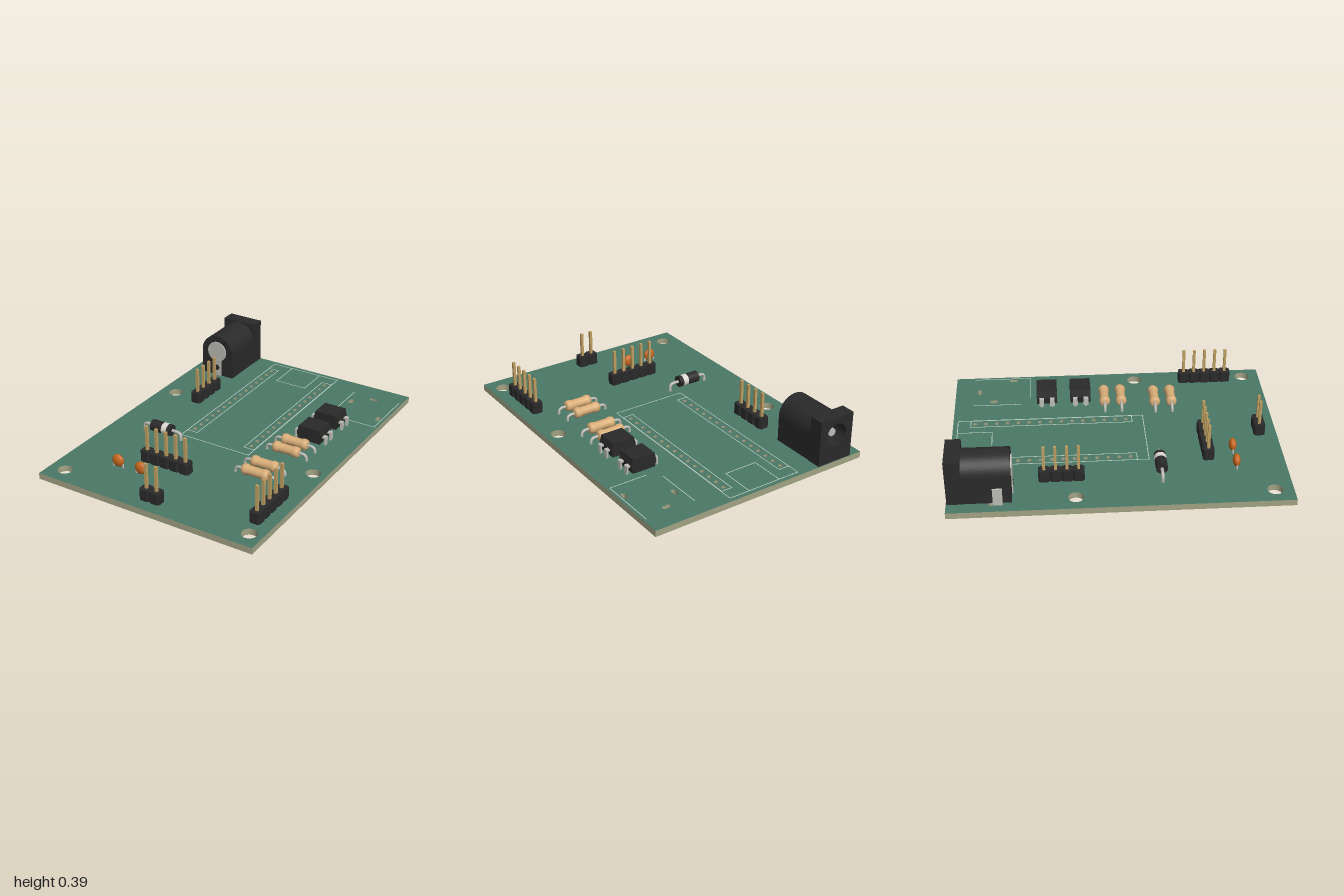
import * as THREE from 'three';

const TOP = 0.106, BOTTOM = 0.067;
const mat = (color, extra = {}) => new THREE.MeshStandardMaterial({ color, ...extra });
const GREEN = mat(0x4a7866), EDGE = mat(0xa3a385), BLACK = mat(0x2a2a2a), SILVER = mat(0xbdbdb6, { side: THREE.DoubleSide });
const BRASS = mat(0xbf9f62), TAN = mat(0xd9ae78), ORANGE = mat(0xc8681e), SILK = mat(0xb9cbc0), BAND = mat(0xdcdad2);

function add(parent, name, geometry, material, x = 0, y = 0, z = 0) {
  const mesh = new THREE.Mesh(geometry, material);
  mesh.name = name;
  mesh.position.set(x, y, z);
  parent.add(mesh);
  return mesh;
}

function group(parent, name, x = 0, y = 0, z = 0) {
  const g = new THREE.Group();
  g.name = name;
  g.position.set(x, y, z);
  parent.add(g);
  return g;
}

const polygon = pts => new THREE.Shape(pts.map(p => new THREE.Vector2(...p)));
const extrude = (shape, depth) => new THREE.ExtrudeGeometry(shape, { depth, bevelEnabled: false, curveSegments: 20 });
const circle = (x, y, r) => new THREE.Path().absarc(x, y, r, 0, Math.PI * 2, true);

// Rounded slot, w by h, centred on x, y
function slot(x, y, w, h) {
  const r = Math.min(w, h) / 2, dx = w / 2 - r, dy = h / 2 - r;
  const p = new THREE.Path();
  if (w > h) {
    p.absarc(x + dx, y, r, -Math.PI / 2, Math.PI / 2);
    p.absarc(x - dx, y, r, Math.PI / 2, Math.PI * 1.5);
  } else {
    p.absarc(x, y + dy, r, 0, Math.PI);
    p.absarc(x, y - dy, r, Math.PI, Math.PI * 2);
  }
  p.closePath();
  return p;
}

// Board with mounting holes, socket holes and slots
function addBoard(root) {
  const s = polygon([[-0.72, -1], [0.72, -1], [0.72, 1], [-0.72, 1]]);
  for (const [x, z] of [[-0.615, -0.26], [-0.615, 0.89], [0.637, 0.17], [0.637, 0.89]]) s.holes.push(circle(x, z, 0.046));
  for (const x of [-0.235, 0.172])
    for (let i = 0; i < 15; i++) s.holes.push(circle(x, -0.862 + i * 0.0676, 0.0145));
  s.holes.push(slot(0.543, -0.844, 0.055, 0.028), slot(0.425, -0.75, 0.03, 0.055),
    slot(0.675, -0.625, 0.03, 0.055), slot(-0.65, -0.715, 0.028, 0.085));
  const g = extrude(s, TOP - BOTTOM).rotateX(Math.PI / 2);
  add(root, 'board', g, [GREEN, EDGE], 0, TOP, 0);
}

// Printed outlines
function addOutlines(root) {
  const g = group(root, 'printedOutlines');
  const w = 0.005;
  const line = (x0, z0, x1, z1) => add(g, 'outlineLine',
    new THREE.BoxGeometry(Math.abs(x1 - x0) + w, 0.001, Math.abs(z1 - z0) + w), SILK, (x0 + x1) / 2, TOP + 0.0005, (z0 + z1) / 2);
  const rect = (x0, z0, x1, z1) => {
    line(x0, z0, x1, z0); line(x0, z1, x1, z1); line(x0, z0, x0, z1); line(x1, z0, x1, z1);
  };
  rect(-0.27, -0.97, 0.21, 0.19);
  rect(-0.135, -0.97, 0.077, -0.754);
  rect(-0.27, -0.89, -0.2, 0.12);
  rect(0.138, -0.89, 0.207, 0.12);
  line(0.385, -0.88, 0.385, -0.58);
  line(0.46, -0.515, 0.7, -0.515);
  line(0.7, -0.88, 0.7, -0.515);
}

// Row of square pins in chamfered black blocks
function addHeader(root, x, z, count, alongZ) {
  const g = group(root, 'pinHeader', x, 0, z);
  const a = 0.0338, b = 0.022, pitch = 0.0676;
  const block = extrude(polygon([[a, -b], [a, b], [b, a], [-b, a], [-a, b], [-a, -b], [-b, -a], [b, -a]]), 0.069).rotateX(-Math.PI / 2);
  for (let i = 0; i < count; i++) {
    const d = (i - (count - 1) / 2) * pitch;
    const px = alongZ ? 0 : d, pz = alongZ ? d : 0;
    add(g, 'headerBlock', block, BLACK, px, TOP, pz);
    add(g, 'headerPin', new THREE.BoxGeometry(0.017, 0.303, 0.017), BRASS, px, 0.1815, pz);
  }
}

// Wire running out along x, bending down through the board; side is +1 or -1
function addLead(g, side, inner, outer, y, bottom, r = 0.009) {
  const bend = Math.min(0.03, outer - inner);
  const v = (x, h) => new THREE.Vector3(side * x, h, 0);
  const path = new THREE.CurvePath();
  if (outer - bend > inner) path.add(new THREE.LineCurve3(v(inner, y), v(outer - bend, y)));
  path.add(new THREE.QuadraticBezierCurve3(v(outer - bend, y), v(outer, y), v(outer, y - bend)));
  path.add(new THREE.LineCurve3(v(outer, y - bend), v(outer, bottom)));
  add(g, 'lead', new THREE.TubeGeometry(path, 24, r, 8), SILVER);
  add(g, 'leadTip', new THREE.CircleGeometry(r, 8).rotateX(Math.PI / 2), SILVER, side * outer, bottom, 0);
}

function addResistor(root, x, z) {
  const g = group(root, 'resistor', x, 0, z);
  const half = [[0, -0.088], [0.02, -0.088], [0.03, -0.082], [0.034, -0.07], [0.034, -0.052], [0.029, -0.042]];
  const pts = [...half, ...half.map(([r, h]) => [r, -h]).reverse()].map(p => new THREE.Vector2(...p));
  add(g, 'resistorBody', new THREE.LatheGeometry(pts, 24).rotateZ(Math.PI / 2), TAN, 0, 0.143, 0);
  for (const s of [-1, 1]) addLead(g, s, 0.08, 0.135, 0.143, 0.03);
}

function addDiode(root) {
  const g = group(root, 'diode', -0.367, 0, 0.25);
  const cyl = (r, len) => new THREE.CylinderGeometry(r, r, len, 28).rotateZ(Math.PI / 2);
  add(g, 'diodeBody', cyl(0.036, 0.143), BLACK, 0, 0.155, 0);
  add(g, 'diodeBand', cyl(0.0368, 0.037), BAND, 0.029, 0.155, 0);
  for (const s of [-1, 1]) addLead(g, s, 0.07, 0.134, 0.155, 0.035, 0.01);
}

function addCapacitor(root, x) {
  const g = group(root, 'discCapacitor', x, 0, 0.7);
  add(g, 'capacitorDisc', new THREE.SphereGeometry(0.039, 24, 16).scale(1, 1, 0.58), ORANGE, 0, 0.149, 0);
  for (const s of [-1, 1]) addLead(g, s, 0.02, 0.034, 0.137, 0.045, 0.006);
}

// Four-legged chip with sloped sides
function addChip(root, z) {
  const g = group(root, 'chip', 0.445, 0, z);
  const body = extrude(polygon([[-0.074, 0.115], [0.074, 0.115], [0.083, 0.16], [0.071, 0.206], [-0.071, 0.206], [-0.083, 0.16]]), 0.13);
  add(g, 'chipBody', body, BLACK, 0, 0, -0.065);
  for (const sx of [-1, 1]) for (const sz of [-1, 1]) {
    const leg = group(g, 'chipLeg', 0, 0, sz * 0.034);
    add(leg, 'legShoulder', new THREE.BoxGeometry(0.03, 0.011, 0.03), SILVER, sx * 0.091, 0.158, 0);
    add(leg, 'legUpper', new THREE.BoxGeometry(0.011, 0.05, 0.03), SILVER, sx * 0.1, 0.138, 0);
    add(leg, 'legLower', new THREE.BoxGeometry(0.011, 0.08, 0.014), SILVER, sx * 0.1, 0.075, 0);
  }
}

// Solder tab with an eyelet at its rounded lower end
function tabGeometry(width, top, bottom) {
  const r = width / 2;
  const s = new THREE.Shape();
  s.moveTo(-r, top);
  s.lineTo(-r, bottom + r);
  s.absarc(0, bottom + r, r, Math.PI, Math.PI * 2);
  s.lineTo(r, top);
  s.closePath();
  s.holes.push(slot(0, bottom + r + 0.008, width * 0.5, width * 0.5 + 0.016));
  return extrude(s, 0.01).translate(0, 0, -0.005);
}

// Barrel power socket, opening toward the back edge
function addPowerSocket(root) {
  const g = group(root, 'powerSocket', -0.523, 0, 0);
  const cy = 0.279, hole = 0.072;
  const flange = polygon([[-0.119, TOP], [0.119, TOP], [0.119, 0.393], [-0.119, 0.393]]);
  flange.holes.push(circle(0, cy, hole));
  add(g, 'socketFlange', extrude(flange, 0.09), BLACK, 0, 0, -0.995);
  const arch = () => {
    const s = new THREE.Shape();
    s.moveTo(-0.117, TOP);
    s.lineTo(0.117, TOP);
    s.absarc(0, 0.272, 0.117, 0, Math.PI);
    s.closePath();
    return s;
  };
  const barrel = arch();
  barrel.holes.push(circle(0, cy, hole));
  add(g, 'socketBarrel', extrude(barrel, 0.235), BLACK, 0, 0, -0.905);
  add(g, 'socketEnd', extrude(arch(), 0.045), BLACK, 0, 0, -0.67);
  add(g, 'centrePin', new THREE.CylinderGeometry(0.025, 0.025, 0.29, 20).rotateX(Math.PI / 2), SILVER, 0, cy, -0.815);
  // Contact plate, eyelet tabs and rivet
  add(g, 'contactDisc', new THREE.CylinderGeometry(0.07, 0.07, 0.008, 32).rotateX(Math.PI / 2), SILVER, 0, cy, -0.622);
  add(g, 'endTab', tabGeometry(0.062, 0.23, 0.006), SILVER, 0, 0, -0.623);
  add(g, 'contactStem', new THREE.BoxGeometry(0.062, 0.15, 0.009), SILVER, 0, 0.15, -0.623);
  add(g, 'rivet', new THREE.CylinderGeometry(0.019, 0.019, 0.006, 20).rotateX(Math.PI / 2), BLACK, 0, 0.165, -0.618);
  add(g, 'middleTab', tabGeometry(0.062, 0.12, 0), SILVER, 0, 0, -0.783);
  add(g, 'sideTab', tabGeometry(0.056, 0.1, 0.014).rotateY(Math.PI / 2), SILVER, -0.126, 0, -0.705);
  add(g, 'sideStrip', new THREE.BoxGeometry(0.01, 0.12, 0.056), SILVER, -0.126, 0.15, -0.705);
}

export function createModel() {
  const root = new THREE.Group();
  root.name = 'circuitBoard';
  addBoard(root);
  addOutlines(root);
  addHeader(root, -0.429, -0.338, 4, true);
  addHeader(root, 0.61, 0.63, 5, true);
  addHeader(root, -0.135, 0.545, 5, false);
  addHeader(root, 0.005, 0.892, 2, false);
  for (const [x, z] of [[0.4, -0.042], [0.4, 0.064], [0.375, 0.277], [0.375, 0.384]]) addResistor(root, x, z);
  addDiode(root);
  for (const x of [-0.37, -0.208]) addCapacitor(root, x);
  for (const z of [-0.41, -0.195]) addChip(root, z);
  addPowerSocket(root);
  return root;
}
